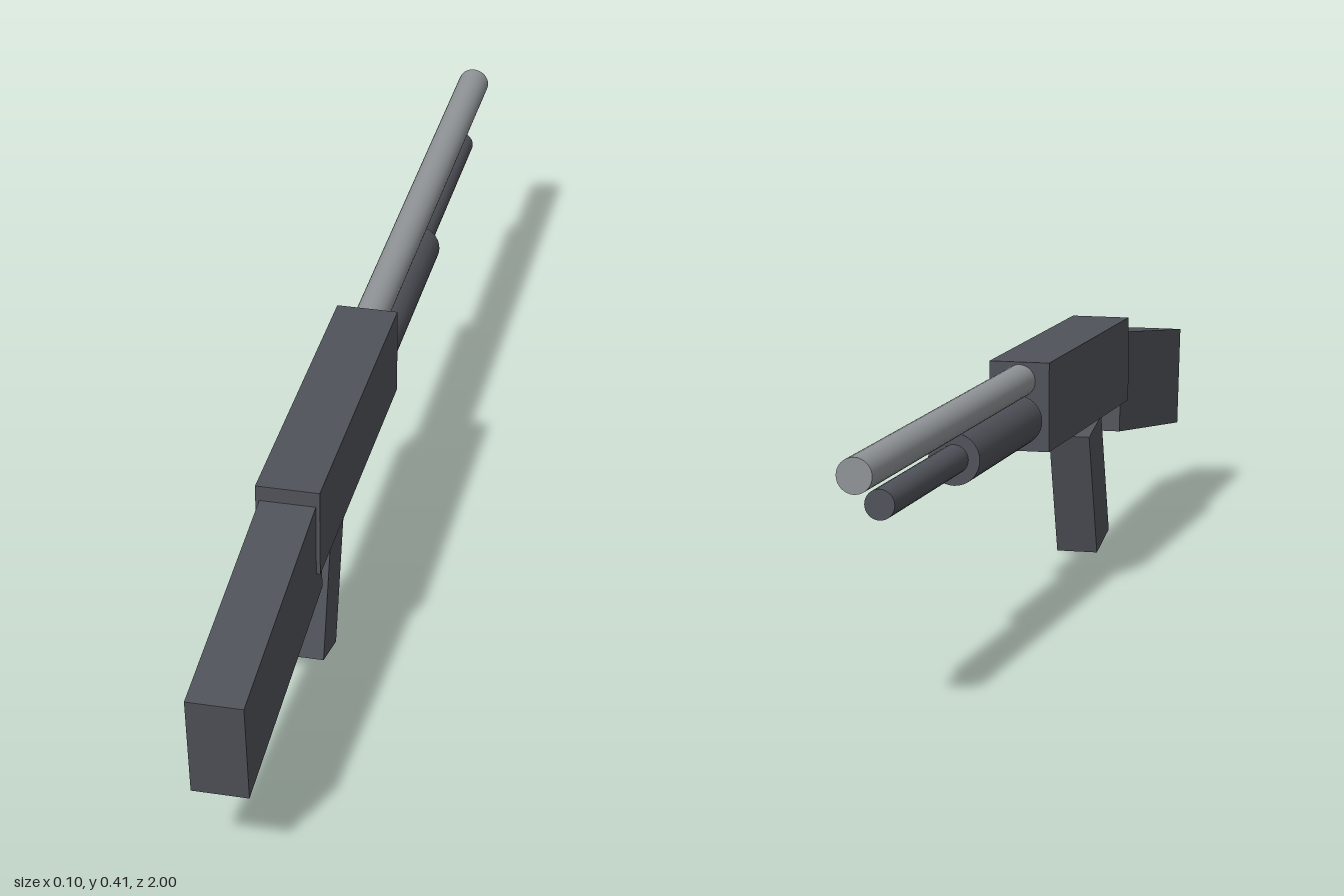
import * as THREE from 'three';

export function createModel() {
  const model = new THREE.Group();
  const gunmetal = new THREE.MeshStandardMaterial({ name: 'dark gunmetal', color: 0x50535a });
  const steel = new THREE.MeshStandardMaterial({ name: 'light steel', color: 0x919598 });

  // Block centred on x = 0, pitched about the x axis
  function block(name, width, height, length, y, z, pitch = 0) {
    const mesh = new THREE.Mesh(new THREE.BoxGeometry(width, height, length), gunmetal);
    mesh.name = name;
    mesh.position.set(0, y, z);
    mesh.rotation.x = pitch;
    model.add(mesh);
  }

  // Round bar running along z between two ends
  function bar(name, radius, y, zNear, zFar, material) {
    const geometry = new THREE.CylinderGeometry(radius, radius, zNear - zFar, 32);
    geometry.rotateX(Math.PI / 2);
    const mesh = new THREE.Mesh(geometry, material);
    mesh.name = name;
    mesh.position.set(0, y, (zNear + zFar) / 2);
    model.add(mesh);
  }

  // Body
  block('receiver', 0.105, 0.153, 0.585, 0.33, 0.235);
  block('stock', 0.092, 0.183, 0.496, 0.261, 0.742, 0.125);
  block('grip', 0.074, 0.23, 0.095, 0.1235, 0.366, -0.27);

  // Tubes at the far end
  bar('barrel', 0.028, 0.374, -0.04, -1, steel);
  bar('magazineTube', 0.024, 0.308, -0.04, -0.873, gunmetal);
  bar('foreEnd', 0.043, 0.308, -0.068, -0.465, gunmetal);

  return model;
}
